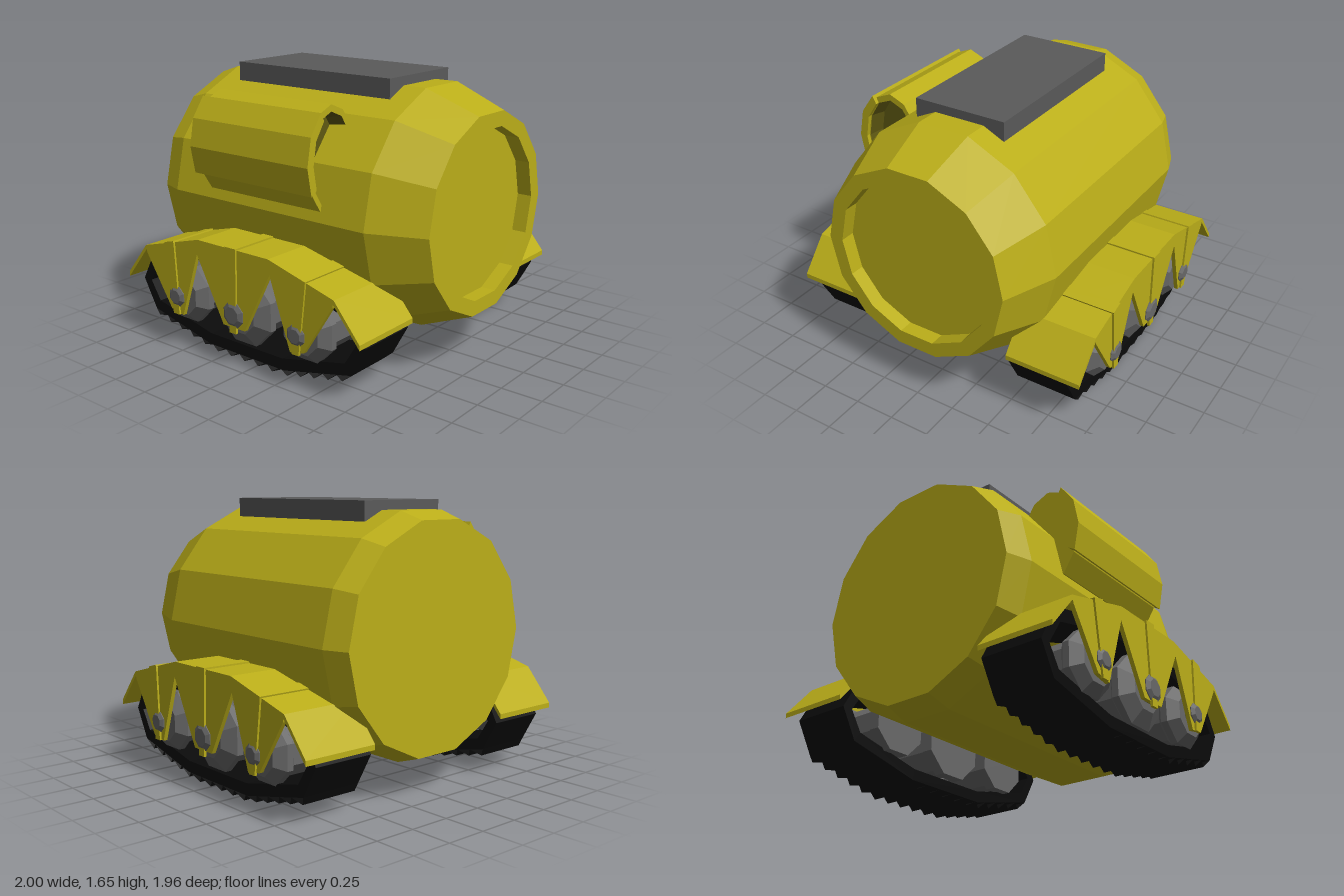
import * as THREE from 'three';

const mat = (color, side = THREE.FrontSide) =>
  new THREE.MeshStandardMaterial({ color, flatShading: true, side });
const yellow = mat(0xbbae19);
const darkYellow = mat(0x5f5912, THREE.DoubleSide);
const grey = mat(0x5a5a5a);
const wheelGrey = mat(0x686868);
const black = mat(0x0b0b0b, THREE.DoubleSide);

const MID = -0.075; // z of the tracks' middle

function add(parent, name, geometry, material) {
  const mesh = new THREE.Mesh(geometry, material);
  mesh.name = name;
  parent.add(mesh);
  return mesh;
}

// Lathe from [radius, height] points, with its axis along y
const lathe = (pts, sides, start = 0) =>
  new THREE.LatheGeometry(pts.map(p => new THREE.Vector2(...p)), sides, start);

// Outline of [z, y] points, extruded along x from x0 to x1
function sideExtrude(pts, x0, x1, hole) {
  const toShape = p => new THREE.Vector2(-p[0], p[1]);
  const shape = new THREE.Shape(pts.map(toShape));
  if (hole) shape.holes.push(new THREE.Path(hole.map(toShape)));
  return new THREE.ExtrudeGeometry(shape, { depth: x1 - x0, bevelEnabled: false })
    .rotateY(Math.PI / 2).translate(x0, 0, 0);
}

// Completes a [z, y] half outline by mirroring it about the tracks' middle
const mirrored = half =>
  [...half, ...half.slice().reverse().map(([z, y]) => [2 * MID - z, y])];

// Sawtooth tread sheet along the underside of the belt
function treadGeometry() {
  const path = mirrored([[0.7, 0.15], [0.2, 0.04]]);
  const pos = [];
  const quad = (a, b, xa, xb) => {
    const A = [xa[0], a.y, a.x], B = [xa[1], a.y, a.x];
    const C = [xb[1], b.y, b.x], D = [xb[0], b.y, b.x];
    pos.push(...A, ...B, ...C, ...A, ...C, ...D);
  };
  const base = [0.51, 0.89], tip = [0.52, 0.88];
  for (let s = 0; s < 3; s++) {
    const p = new THREE.Vector2(...path[s]), q = new THREE.Vector2(...path[s + 1]);
    const dir = q.clone().sub(p).normalize();
    const out = new THREE.Vector2(dir.y, -dir.x);
    if (out.y > 0) out.negate();
    const teeth = 5;
    for (let i = 0; i < teeth; i++) {
      const a = p.clone().lerp(q, i / teeth);
      const b = p.clone().lerp(q, (i + 1) / teeth);
      const t = a.clone().lerp(b, 0.75).addScaledVector(out, 0.04);
      quad(a, t, base, tip);
      quad(t, b, tip, base);
    }
  }
  const g = new THREE.BufferGeometry();
  g.setAttribute('position', new THREE.Float32BufferAttribute(pos, 3));
  g.computeVertexNormals();
  return g;
}

function createTrack() {
  const track = new THREE.Group();

  // Belt loop with its tread
  const outer = mirrored([[0.68, 0.55], [0.8, 0.33], [0.7, 0.15], [0.22, 0.04]]);
  const inner = mirrored([[0.64, 0.48], [0.735, 0.33], [0.66, 0.21], [0.21, 0.11]]);
  const top = (y) => [[2 * MID - 0.2, y], [0.2, y]];
  add(track, 'trackBelt', sideExtrude([...outer, ...top(0.66)], 0.51, 0.89,
    [...inner, ...top(0.59)]), black);
  add(track, 'tread', treadGeometry(), black);

  // Bent fender sheet
  const roof = mirrored([[0.83, 0.39], [0.66, 0.595], [0.2, 0.72]]);
  const under = roof.map(([z, y]) => [z, y - 0.03]).reverse();
  add(track, 'fender', sideExtrude([...roof, ...under], 0.51, 0.98), yellow);

  // Side skirt with three pointed teeth
  const skirt = mirrored([[0.2, 0.715], [0.66, 0.59], [0.65, 0.55], [0.45, 0.24],
    [0.35, 0.22], [0.21, 0.63], [0.01, 0.25]]);
  add(track, 'skirt', sideExtrude(skirt, 0.955, 0.98), yellow);

  // Wheels, bolts and ribs
  [-1, 0, 1].forEach(k => {
    const z = MID + k * 0.472, R = k ? 0.19 : 0.22;
    const wheel = lathe([[0, 0.46], [R, 0.46], [R, 0.53], [R * 0.8, 0.56], [R * 0.8, 0.82],
      [R, 0.85], [R, 0.89], [0.13, 0.945], [0, 0.945]], 8, Math.PI / 8);
    add(track, 'wheel', wheel.rotateZ(-Math.PI / 2), wheelGrey).position.set(0, 0.33, z);

    const r = k ? 0.065 : 0.08;
    const bolt = lathe([[0, 0.94], [r, 0.94], [r, 0.985], [r * 0.65, 1], [0, 1]], 8, Math.PI / 8);
    add(track, 'bolt', bolt.rotateZ(-Math.PI / 2), wheelGrey).position.set(0, 0.33, z);

    const zt = MID + k * 0.51, yt = k ? 0.655 : 0.72;
    const strap = add(track, 'fenderRib', new THREE.BoxGeometry(0.48, 0.02, 0.08), yellow);
    strap.position.set(0.752, yt, zt);
    strap.rotation.x = k * 0.265;
    const drop = k * 0.01;
    add(track, 'skirtRib', sideExtrude([[zt + 0.04, yt - drop], [zt - 0.04, yt + drop],
      [z - 0.025, 0.22], [z + 0.025, 0.22]], 0.975, 0.992), yellow);
  });
  return track;
}

export function createModel() {
  const model = new THREE.Group();

  // Fourteen-sided barrel body with a recessed front
  const hull = lathe([[0, -0.95], [0.67, -0.95], [0.72, -0.8], [0.72, 0.65], [0.59, 0.98],
    [0.5, 0.98], [0.5, 0.89], [0, 0.89]], 14, Math.PI / 2);
  add(model, 'body', hull.rotateX(Math.PI / 2), yellow).position.y = 0.89;

  // Roof plate
  add(model, 'roofPlate', new THREE.BoxGeometry(0.585, 0.115, 1.155), grey)
    .position.set(0, 1.588, -0.077);

  // Oval side pod, open at the front, with a jacket on its outer side
  const pod = new THREE.Group();
  pod.name = 'sidePod';
  pod.position.set(-0.61, 1.22, 0);
  model.add(pod);
  const shell = lathe([[0, -0.5], [1, -0.5], [1, 0.345], [0.87, 0.345]], 12);
  add(pod, 'podShell', shell.rotateX(Math.PI / 2).scale(0.2, 0.31, 1), yellow);
  const bore = lathe([[0.87, 0.345], [0.8, 0.24], [0, 0.24]], 12);
  add(pod, 'podBore', bore.rotateX(Math.PI / 2).scale(0.2, 0.31, 1), darkYellow);
  const arc = (rx, ry) => [4, 5, 6, 7].map(i =>
    new THREE.Vector2(rx * Math.cos(i * Math.PI / 6), ry * Math.sin(i * Math.PI / 6)));
  const jacket = new THREE.Shape([...arc(0.23, 0.325), ...arc(0.18, 0.27).reverse()]);
  add(pod, 'podJacket', new THREE.ExtrudeGeometry(jacket, { depth: 0.9, bevelEnabled: false })
    .translate(0, 0, -0.53), yellow);

  // Mirrored pair of tracks
  for (const side of [1, -1]) {
    const track = createTrack();
    track.name = side > 0 ? 'leftTrack' : 'rightTrack';
    track.scale.x = side;
    model.add(track);
  }
  return model;
}
